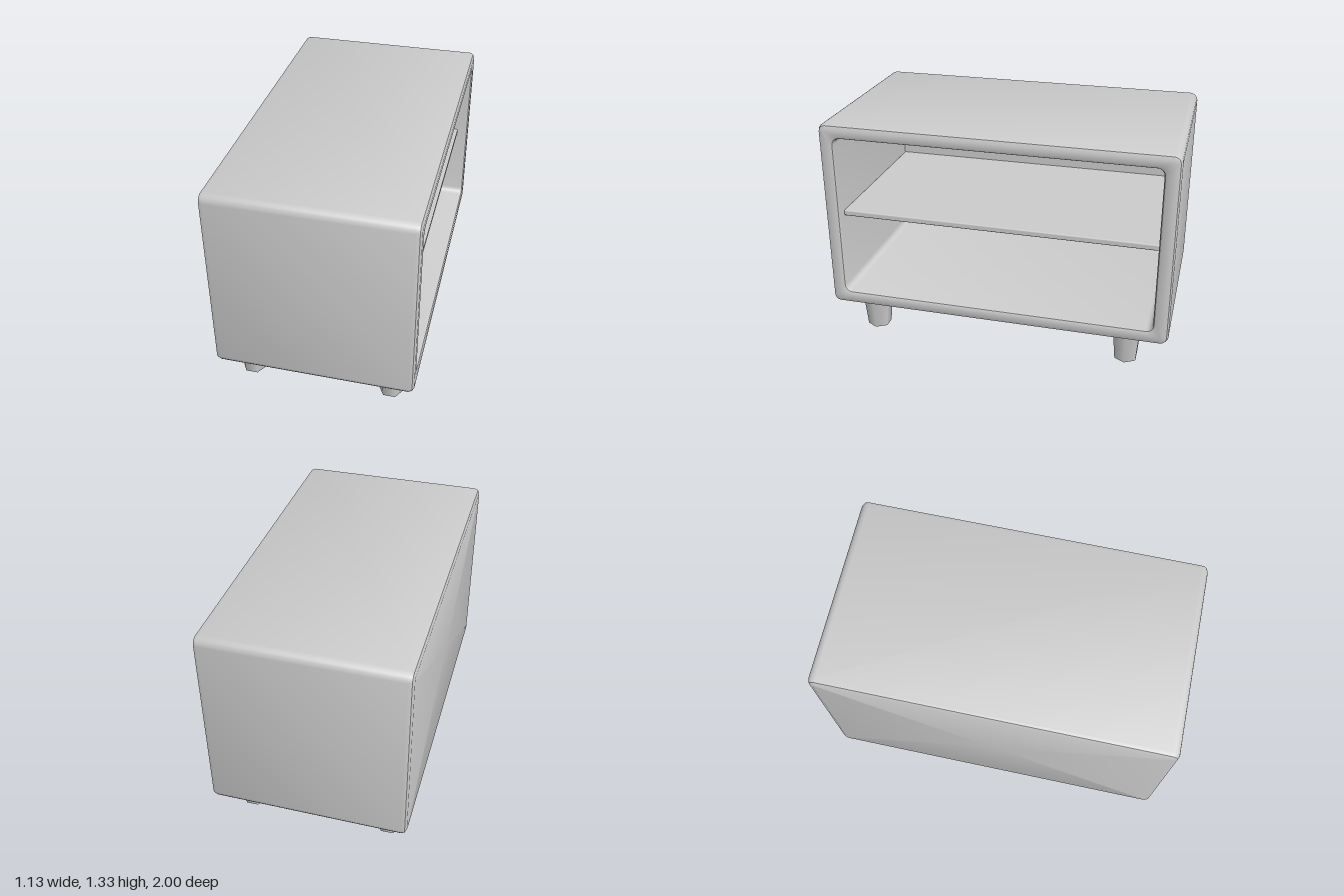
import * as THREE from 'three';
import { toCreasedNormals } from 'three/addons/utils/BufferGeometryUtils.js';
import { RoundedBoxGeometry } from 'three/addons/geometries/RoundedBoxGeometry.js';

const CENTRE_Y = 0.768;

// Rounded rectangle in the zy plane at a given x, counter-clockwise seen from +x
function ring(x, halfZ, halfY, radius, steps = 4) {
  const points = [];
  for (let corner = 0; corner < 4; corner++) {
    const sz = corner === 0 || corner === 3 ? -1 : 1;
    const sy = corner < 2 ? 1 : -1;
    for (let i = 0; i <= steps; i++) {
      const a = (corner + i / steps) * Math.PI / 2;
      points.push(new THREE.Vector3(
        x,
        CENTRE_Y + sy * (halfY - radius) + radius * Math.sin(a),
        sz * (halfZ - radius) - radius * Math.cos(a)
      ));
    }
  }
  return points;
}

// Skin consecutive rings with quads
function loft(rings) {
  const position = [];
  const put = (...vs) => vs.forEach((v) => position.push(v.x, v.y, v.z));
  for (let i = 0; i < rings.length - 1; i++) {
    const n = rings[i].length;
    for (let j = 0; j < n; j++) {
      const k = (j + 1) % n;
      const a = rings[i][j], b = rings[i][k], c = rings[i + 1][k], d = rings[i + 1][j];
      put(a, b, c, a, c, d);
    }
  }
  const geometry = new THREE.BufferGeometry();
  geometry.setAttribute('position', new THREE.Float32BufferAttribute(position, 3));
  return toCreasedNormals(geometry, 0.7);
}

export function createModel() {
  const group = new THREE.Group();
  const material = new THREE.MeshStandardMaterial({ color: 0xcccccc });
  const add = (name, geometry, x = 0, y = 0, z = 0) => {
    const mesh = new THREE.Mesh(geometry, material);
    mesh.name = name;
    mesh.position.set(x, y, z);
    group.add(mesh);
  };

  // Cabinet shell: closed back, rounded outer edges, rim, then the hollow inside
  const outer = (x, inset) => ring(x, 1 - inset, 0.5625 - inset, 0.045 - inset);
  const inner = (x, grow, radius = 0.025) => ring(x, 0.9 + grow, 0.468 + grow, radius + grow);
  add('cabinetShell', loft([
    ring(-0.565, 0, 0, 0),
    outer(-0.565, 0.03),
    outer(-0.556, 0.009),
    outer(-0.535, 0),
    outer(0.535, 0),
    outer(0.556, 0.009),
    outer(0.565, 0.03),
    inner(0.565, 0.03),
    inner(0.559, 0.018),
    inner(0.545, 0.012),
    inner(-0.48, 0.01),
    ring(-0.48, 0, 0, 0),
  ]));

  // Shelf, slightly set back from the opening
  add('shelf', new RoundedBoxGeometry(0.99, 0.035, 1.824, 2, 0.008), 0.005, 0.773, 0);

  // Four tapered six-sided feet
  const footGeometry = new THREE.CylinderGeometry(0.09, 0.07, 0.215, 6);
  footGeometry.rotateY(Math.PI / 2);
  for (const x of [-0.42, 0.405]) {
    for (const z of [-0.757, 0.78]) {
      add(`${z > 0 ? 'front' : 'back'}${x > 0 ? 'Left' : 'Right'}Foot`, footGeometry, x, 0.1075, z);
    }
  }
  return group;
}
